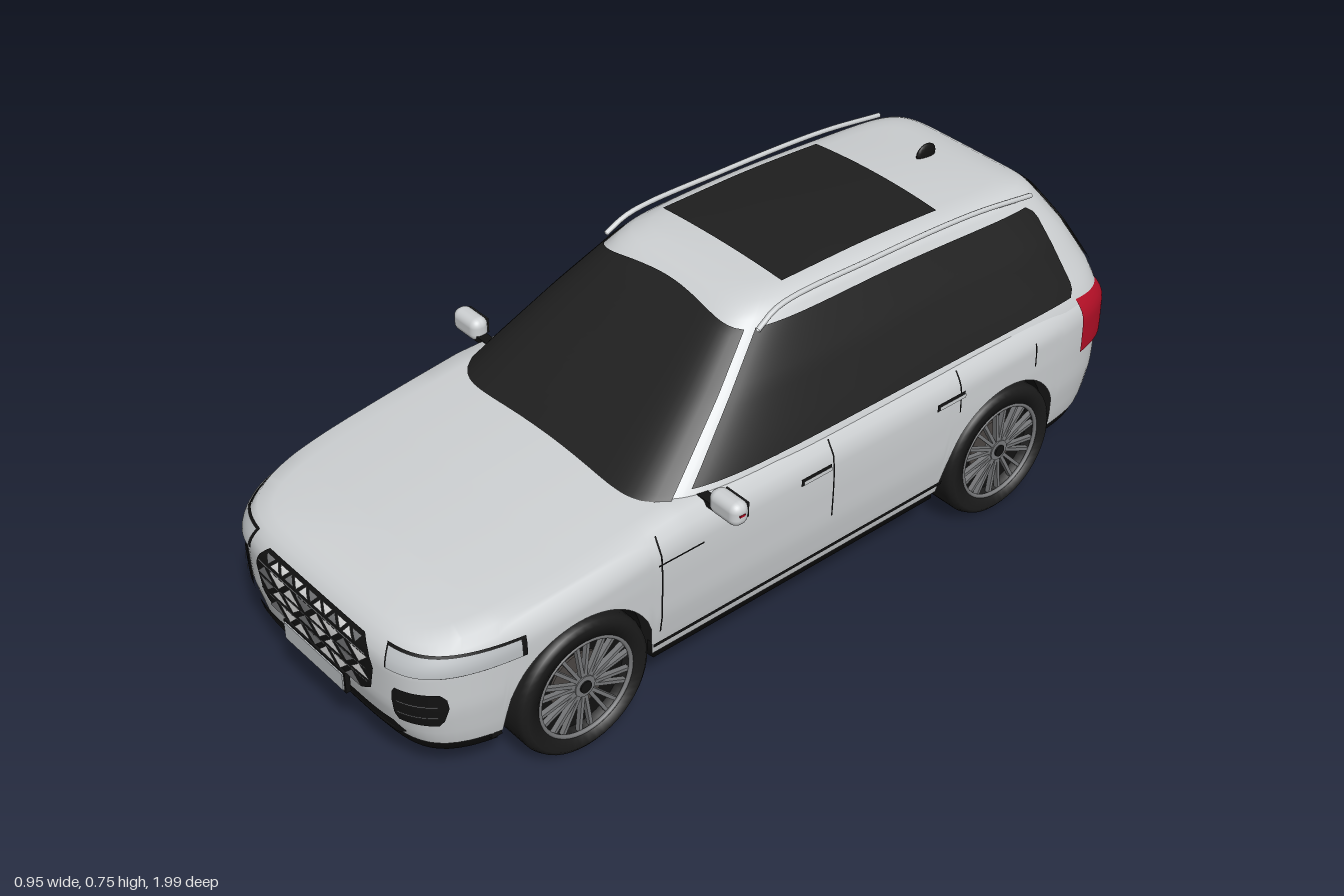
import * as THREE from 'three';
import { RoundedBoxGeometry } from 'three/addons/geometries/RoundedBoxGeometry.js';

const mat = (name, color) => new THREE.MeshStandardMaterial({ name, color, side: THREE.DoubleSide });
const paint = mat('silver paint', 0xcdd0d2), glass = mat('dark glass', 0x1f1f1f), trim = mat('black trim', 0x121212);
const red = mat('red lamp', 0xb30f26), bright = mat('bright metal', 0xe2e2e2), rimGrey = mat('wheel grey', 0x77787a);
const rubber = mat('tyre rubber', 0x1b1b1b), exhaustGrey = mat('exhaust grey', 0x4b4643), lamp = mat('lamp silver', 0xbcc0c3);

const AXLES = [0.615, -0.583], ARCH = 0.18, HUB = 0.165, HALF = 0.985;
const clamp = THREE.MathUtils.clamp, lerp = THREE.MathUtils.lerp;

// Piecewise-linear lookup in a list of [position, value]
function look(t, q) {
  if (q <= t[0][0]) return t[0][1];
  for (let i = 1; i < t.length; i++)
    if (q <= t[i][0]) return lerp(t[i - 1][1], t[i][1], (q - t[i - 1][0]) / (t[i][0] - t[i - 1][0]));
  return t[t.length - 1][1];
}
// Surface from a grid of points; closed joins the last column to the first
function grid(nu, nv, fn, closed = false) {
  const cols = closed ? nu : nu + 1, pos = [], idx = [];
  for (let j = 0; j <= nv; j++) for (let i = 0; i < cols; i++) pos.push(...fn(i, j));
  for (let j = 0; j < nv; j++) for (let i = 0; i < nu; i++) {
    const a = j * cols + i, b = j * cols + (i + 1) % cols;
    idx.push(a, b, b + cols, a, b + cols, a + cols);
  }
  const g = new THREE.BufferGeometry();
  g.setAttribute('position', new THREE.Float32BufferAttribute(pos, 3));
  g.setIndex(idx);
  g.computeVertexNormals();
  return g;
}
// Rounded plan outline: 400 steps around a square, pushed onto a superellipse
const LOOP = 400;
function outline(i, nf, nr) {
  const [a, b] = i < 160 ? [1, 1 - i / 80] : i < 200 ? [1 - (i - 160) / 20, -1]
    : i < 360 ? [-1, -1 + (i - 200) / 80] : [-1 + (i - 360) / 20, 1];
  return squash(a, b, nf, nr);
}
function squash(a, b, nf, nr) {
  const n = b > 0 ? nf : nr, s = (Math.abs(a) ** n + Math.abs(b) ** n) ** (-1 / n);
  return [a * s, b * s];
}
const other = (q, n) => Math.max(0, 1 - Math.abs(q) ** n) ** (1 / n);

// Lower body surface
const BODY_W = [[0.1, 0.37], [0.16, 0.385], [0.24, 0.397], [0.34, 0.4], [0.46, 0.398]];
const BODY_IN = [[0.1, 0.045], [0.15, 0.02], [0.22, 0.003], [0.34, 0], [0.46, 0]];
const TOP = [[-1, 0.46], [0.35, 0.455], [0.6, 0.427], [0.8, 0.407], [0.92, 0.391], [0.985, 0.38]];
function bodyAt(A, B, y, off = 0) {
  const z0 = B * HALF, r = (1 - clamp((look(TOP, z0) - y) / 0.06, 0, 1)) ** 2;
  const x = A * (look(BODY_W, y) - 0.027 * r + off);
  return [x, y, z0 - Math.sign(B) * (look(BODY_IN, y) + 0.03 * r - off) * Math.abs(B) ** 8];
}
function bottomEdge(z) {
  let y = 0.135;
  for (const c of AXLES) if (Math.abs(z - c) < ARCH) y = Math.max(y, HUB + Math.sqrt(ARCH ** 2 - (z - c) ** 2));
  return y;
}
function bodyGeometry() {
  return grid(LOOP, 22, (i, j) => {
    const [A, B] = outline(i, 6, 8), top = look(TOP, B * HALF);
    if (j <= 14) return bodyAt(A, B, lerp(bottomEdge(B * HALF), top, j / 14));
    const k = (j - 14) / 8, e = bodyAt(A, B, top), z = lerp(e[2], clamp(e[2], -0.8, 0.8), k);
    return [e[0] * (1 - k), look(TOP, z) + 0.015 * (1 - (1 - k) ** 2), z];
  }, true);
}

// Cabin surface
const CAB_W = [[0.44, 0.378], [0.46, 0.372], [0.5, 0.353], [0.6, 0.303], [0.69, 0.25], [0.71, 0.238], [0.722, 0.222], [0.73, 0.2]];
const CAB_F = [[0.44, 0.42], [0.5, 0.34], [0.6, 0.205], [0.69, 0.085], [0.71, 0.055], [0.722, 0.03], [0.73, -0.01]];
const CAB_R = [[0.44, -0.975], [0.5, -0.96], [0.6, -0.915], [0.69, -0.86], [0.71, -0.845], [0.722, -0.825], [0.73, -0.79]];
const ZC = -0.45, NC = 7;
const drop = (y, z) => 0.03 * THREE.MathUtils.smoothstep(-z, 0.25, 0.9) * (y - 0.45) / 0.29;
function cabinAt(A, B, y, off = 0) {
  const z = ZC + B * (B > 0 ? look(CAB_F, y) - ZC : ZC - look(CAB_R, y)) + Math.sign(B) * off * Math.abs(B) ** 8;
  return [A * (look(CAB_W, y) + off), y - drop(y, z), z];
}
function roofY(x, z) {
  return 0.73 + 0.011 * Math.max(0, 1 - (x / 0.2) ** 2) * Math.max(0, 1 - ((z + 0.4) / 0.4) ** 4) - drop(0.73, z);
}
function cabinGeometry() {
  const ys = [0.44, 0.46, 0.48, 0.5, 0.53, 0.56, 0.6, 0.63, 0.66, 0.69, 0.7, 0.71, 0.722, 0.73];
  return grid(LOOP, ys.length + 7, (i, j) => {
    const [A, B] = outline(i, NC, NC);
    if (j < ys.length) return cabinAt(A, B, ys[j]);
    const k = (j - ys.length + 1) / 8, e = cabinAt(A, B, 0.73);
    const x = e[0] * (1 - k), z = lerp(e[2], clamp(e[2], -0.6, -0.2), k);
    return [x, roofY(x, z), z];
  }, true);
}

export function createModel() {
  const car = new THREE.Group();
  car.name = 'estateCar';
  const add = (name, geo, m, x = 0, y = 0, z = 0, parent = car) => {
    const mesh = new THREE.Mesh(geo, m);
    mesh.name = name;
    mesh.position.set(x, y, z);
    parent.add(mesh);
    return mesh;
  };
  const box = (name, w, h, d, m, x, y, z, parent) => add(name, new THREE.BoxGeometry(w, h, d), m, x, y, z, parent);
  const patch = (name, m, nu, nv, fn) => add(name, grid(nu, nv, (i, j) => fn(i / nu, j / nv)), m);
  // Thin plates following the body: along both flanks, or across the nose (s=1) and tail (s=-1)
  const flank = (name, m, z0, z1, y0, y1, off = 0.004) => [1, -1].forEach(s => patch(name, m, 8, 6, (u, v) => {
    const B = lerp(z0, z1, u) / HALF;
    return bodyAt(s * other(B, B > 0 ? 6 : 8), B, lerp(y0, y1, v), off);
  }));
  const endPoint = (s, x, y, off) => bodyAt(x / 0.4, s * other(x / 0.4, s > 0 ? 6 : 8), y, off);
  const end = (name, m, s, x0, x1, y0, y1, off = 0.004) =>
    patch(name, m, 24, 4, (u, v) => endPoint(s, lerp(x0, x1, u), lerp(y0, y1, v), off));
  // Nose plate whose half width varies with height, around a centre cx
  const nose = (name, m, cx, widths, off) => patch(name, m, 30, 12, (u, v) => {
    const y = lerp(widths[0][0], widths[widths.length - 1][0], v);
    return endPoint(1, cx + (2 * u - 1) * look(widths, y), y, off);
  });

  // Shell
  add('body', bodyGeometry(), paint);
  add('cabin', cabinGeometry(), paint);

  // Floor and wheel wells
  add('floor', grid(LOOP, 2, (i, j) => {
    const p = bodyAt(...outline(i, 6, 8), 0.14, -0.012);
    if (AXLES.some(c => Math.abs(p[2] - c) < ARCH + 0.005)) p[0] = clamp(p[0], -0.27, 0.27);
    return [j === 2 ? 0 : p[0], j ? 0.11 : 0.15, p[2]];
  }, true), trim);
  const well = new THREE.Shape();
  well.moveTo(-0.8, 0.12);
  for (const c of [...AXLES].reverse()) {
    well.lineTo(c - ARCH, 0.12);
    well.absarc(c, HUB, ARCH, Math.PI, 0, true);
    well.lineTo(c + ARCH, 0.12);
  }
  well.lineTo(0.82, 0.12).lineTo(0.82, 0.36).lineTo(-0.8, 0.36);
  const wellGeo = new THREE.ExtrudeGeometry(well, { depth: 0.704, bevelEnabled: false, curveSegments: 24 });
  add('wheelWells', wellGeo.rotateY(-Math.PI / 2).translate(0.352, 0, 0), trim);
  box('chassis', 0.54, 0.24, 1.7, trim, 0, 0.24, 0);

  // Glass
  patch('windscreen', glass, 32, 20, (u, v) => {
    const A = (2 * u - 1) * 0.88;
    return cabinAt(A, other(A, NC), lerp(0.455, 0.712 - 0.022 * (2 * u - 1) ** 2, v), 0.007);
  });
  patch('rearWindow', glass, 32, 14, (u, v) => {
    const A = (2 * u - 1) * lerp(0.84, 0.87, v);
    return cabinAt(A, -other(A, NC), lerp(0.49, 0.695, v), 0.006);
  });
  for (const s of [1, -1]) patch('sideWindows', glass, 60, 14, (u, v) => {
    const y = lerp(0.47, 0.69, v);
    const front = look([[0.47, 0.29], [0.6, 0.135], [0.69, 0.025]], y);
    const back = look([[0.47, -0.81], [0.49, -0.825], [0.67, -0.79], [0.69, -0.765]], y);
    const z = lerp(front, back, u), B = (z - ZC) / (z > ZC ? look(CAB_F, y) - ZC : ZC - look(CAB_R, y));
    return cabinAt(s * other(B, NC), B, y, 0.005);
  });
  patch('sunroof', glass, 16, 16, (u, v) => {
    const x = lerp(-0.19, 0.19, u), z = lerp(-0.54, -0.085, v);
    return [x, roofY(x, z) + 0.004, z];
  });

  // Roof rails and aerial fin
  for (const s of [1, -1]) {
    const pts = [[0.245, 0.69, 0.03], [0.24, 0.719, -0.03], [0.239, 0.722, -0.3], [0.239, 0.71, -0.6], [0.24, 0.685, -0.79]];
    const path = new THREE.CatmullRomCurve3(pts.map(p => new THREE.Vector3(s * p[0], p[1], p[2])));
    add('roofRail', new THREE.TubeGeometry(path, 40, 0.006, 8), paint);
  }
  add('aerialFin', new THREE.SphereGeometry(1, 16, 10), trim, 0, 0.722, -0.7).scale.set(0.008, 0.024, 0.03);

  // Flank details
  flank('sillLine', trim, -0.4, 0.435, 0.16, 0.17);
  for (const [z, y0, y1] of [[0.42, 0.2, 0.44], [-0.05, 0.26, 0.45], [-0.43, 0.35, 0.45]])
    flank('doorGap', trim, z - 0.002, z + 0.002, y0, y1, 0.003);
  for (const z of [0, -0.4]) {
    flank('doorHandleRecess', trim, z - 0.043, z + 0.043, 0.384, 0.402, 0.003);
    flank('doorHandle', paint, z - 0.04, z + 0.04, 0.389, 0.399, 0.008);
  }
  flank('wingVent', trim, 0.31, 0.43, 0.379, 0.383);
  flank('fuelFlap', trim, -0.674, -0.67, 0.36, 0.42, 0.003);

  // Door mirrors
  for (const s of [1, -1]) {
    add('mirrorShell', new RoundedBoxGeometry(0.088, 0.056, 0.045, 4, 0.02), paint, s * 0.43, 0.468, 0.27);
    box('mirrorGlass', 0.066, 0.036, 0.004, glass, s * 0.43, 0.468, 0.247);
    box('mirrorArm', 0.06, 0.014, 0.025, trim, s * 0.376, 0.451, 0.272);
    box('mirrorRepeater', 0.004, 0.005, 0.014, red, s * 0.473, 0.471, 0.272);
  }

  // Nose: grille, lamps, vents and plate
  nose('grille', trim, 0, [[0.225, 0.155], [0.245, 0.19], [0.31, 0.205], [0.345, 0.19], [0.366, 0.172]], 0.006);
  [[0.23, 0.258, 0.31, 7], [0.268, 0.294, 0.37, 8], [0.3, 0.33, 0.37, 8], [0.341, 0.36, 0.33, 13]].forEach(([y0, y1, width, n], row) => {
    for (let i = 0; i < n; i++) {
      const cx = ((i + 0.5) / n - 0.5) * width, flip = (i + row) % 2;
      patch('grilleFacet', i % 3 ? bright : rimGrey, 4, 4, (u, v) =>
        endPoint(1, cx + (u - 0.5) * (width / n) * (flip ? v : 1 - v) * 1.3, lerp(y0, y1, v), 0.009));
    }
  });
  for (const y of [0.262, 0.296, 0.334]) end('grilleBar', rimGrey, 1, -0.185, 0.185, y - 0.002, y + 0.002, 0.01);
  nose('lowerIntake', trim, 0, [[0.14, 0.235], [0.165, 0.272], [0.187, 0.24]], 0.006);
  end('intakeBar', rimGrey, 1, -0.24, 0.24, 0.162, 0.165, 0.008);
  box('frontPlateSurround', 0.218, 0.052, 0.012, trim, 0, 0.203, 0.989);
  box('frontPlate', 0.208, 0.043, 0.012, lamp, 0, 0.204, 0.992);
  for (const s of [1, -1]) {
    nose('fogVent', trim, s * 0.295, [[0.2, 0.035], [0.215, 0.042], [0.25, 0.047], [0.275, 0.045], [0.287, 0.037]], 0.005);
    for (const y of [0.226, 0.255]) end('fogVentBar', rimGrey, 1, s * 0.26, s * 0.33, y, y + 0.004, 0.008);
    end('headlightSurround', trim, 1, s * 0.236, s * 0.386, 0.327, 0.374, 0.003);
    end('headlight', lamp, 1, s * 0.24, s * 0.3845, 0.33, 0.371, 0.006);
  }

  // Tail: lamps, strip, plate, reflectors and exhaust tips
  for (const s of [1, -1]) {
    patch('tailLamp', red, 24, 10, (u, v) => {
      const t = u * 0.25, [a, b] = t < 0.12 ? [1, -0.88 - t] : [1.12 - t, -1];
      return bodyAt(...squash(s * a, b, 6, 8), lerp(0.32, 0.455, v), 0.007);
    });
    end('rearReflector', red, -1, s * 0.25, s * 0.31, 0.236, 0.246);
    const tip = add('exhaustTip', new THREE.CylinderGeometry(0.016, 0.016, 0.05, 20), bright, s * 0.26, 0.165, -0.955);
    tip.rotation.x = Math.PI / 2;
    tip.scale.x = 1.7;
  }
  end('tailStrip', trim, -1, -0.335, 0.335, 0.425, 0.447);
  end('tailStripLamp', red, -1, -0.33, 0.33, 0.434, 0.439, 0.007);
  end('rearPlateSurround', trim, -1, -0.105, 0.105, 0.355, 0.412);
  end('rearPlate', paint, -1, -0.1, 0.1, 0.36, 0.407, 0.007);
  end('bumperGap', trim, -1, -0.34, 0.34, 0.29, 0.293, 0.003);

  // Exhaust under the floor
  const pipe = add('exhaustPipe', new THREE.CylinderGeometry(0.012, 0.012, 1.25, 12), exhaustGrey, 0.035, 0.108, -0.12);
  pipe.rotation.x = Math.PI / 2;
  add('middleSilencer', new RoundedBoxGeometry(0.08, 0.03, 0.2, 3, 0.012), exhaustGrey, 0.035, 0.107, 0.05);
  add('rearSilencer', new RoundedBoxGeometry(0.36, 0.04, 0.1, 3, 0.018), exhaustGrey, 0, 0.113, -0.82);

  // Wheels, modelled with the outer face towards +x
  const tyreProfile = [[0.118, -0.058], [0.15, -0.06], [0.16, -0.053], [0.165, -0.04], [0.165, 0.04], [0.16, 0.053], [0.15, 0.06], [0.12, 0.056], [0.118, 0.02]];
  const tyreGeo = new THREE.LatheGeometry(tyreProfile.map(p => new THREE.Vector2(...p)), 48).rotateZ(-Math.PI / 2);
  const disc = (r, len) => new THREE.CylinderGeometry(r, r, len, 40).rotateZ(-Math.PI / 2);
  for (const z of AXLES) for (const s of [1, -1]) {
    const wheel = new THREE.Group();
    wheel.name = 'wheel';
    wheel.position.set(s * 0.34, HUB, z);
    wheel.scale.x = s;
    car.add(wheel);
    add('tyre', tyreGeo, rubber, 0, 0, 0, wheel);
    add('wheelBack', disc(0.119, 0.08), trim, -0.015, 0, 0, wheel);
    add('brakeDisc', disc(0.07, 0.006), exhaustGrey, 0.027, 0, 0, wheel);
    add('rimEdge', new THREE.TorusGeometry(0.117, 0.005, 8, 48).rotateY(Math.PI / 2), rimGrey, 0.053, 0, 0, wheel);
    add('hub', disc(0.025, 0.025), rimGrey, 0.04, 0, 0, wheel);
    add('hubCap', disc(0.014, 0.004), trim, 0.054, 0, 0, wheel);
    for (let i = 0; i < 20; i++) {
      const spoke = new THREE.BoxGeometry(0.012, 0.1, 0.008).translate(0.044, 0.067, 0);
      add('spoke', spoke, rimGrey, 0, 0, 0, wheel).rotation.x = (Math.floor(i / 2) + (i % 2 ? 0.2 : -0.2)) * Math.PI / 5;
    }
  }
  return car;
}
